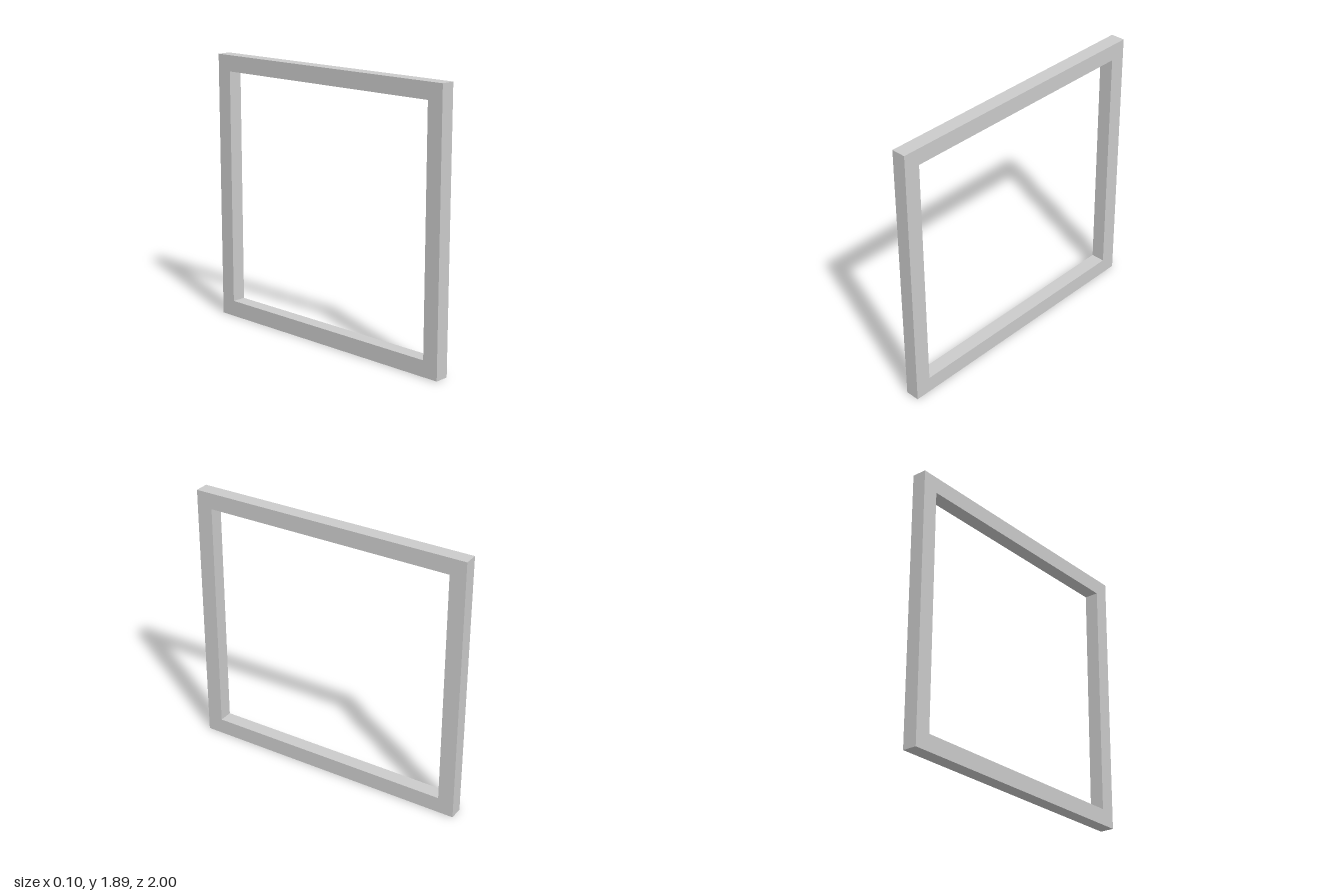
import * as THREE from 'three';

const LENGTH = 2, HEIGHT = 1.89, BORDER = 0.113, DEPTH = 0.1;

// Rectangle centred on x = 0, inset from the outer edge
function rectangle(path, inset) {
  const x = LENGTH / 2 - inset, y0 = inset, y1 = HEIGHT - inset;
  path.moveTo(-x, y0);
  path.lineTo(x, y0);
  path.lineTo(x, y1);
  path.lineTo(-x, y1);
  path.closePath();
  return path;
}

export function createModel() {
  const group = new THREE.Group();
  group.name = 'openFrame';

  // Square-edged frame with one opening, standing in the yz plane
  const outline = rectangle(new THREE.Shape(), 0);
  outline.holes.push(rectangle(new THREE.Path(), BORDER));
  const geometry = new THREE.ExtrudeGeometry(outline, { depth: DEPTH, bevelEnabled: false });
  geometry.translate(0, 0, -DEPTH / 2);
  geometry.rotateY(Math.PI / 2);

  const frame = new THREE.Mesh(geometry, new THREE.MeshStandardMaterial({ color: 0xcccccc }));
  frame.name = 'frame';
  group.add(frame);
  return group;
}
